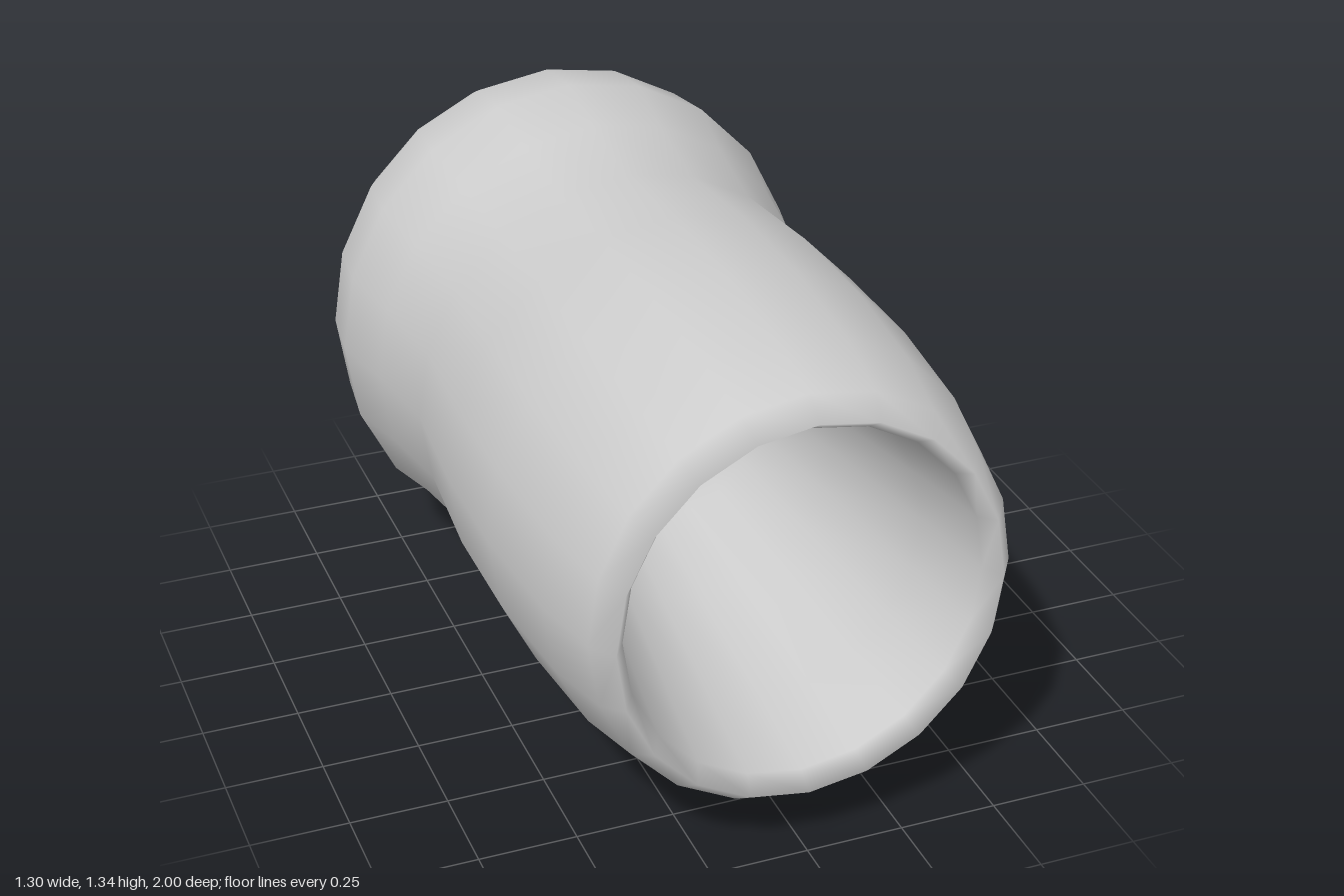
import * as THREE from 'three';
import { mergeVertices } from 'three/addons/utils/BufferGeometryUtils.js';

export function createModel() {
  const group = new THREE.Group();
  group.name = 'sleeve';

  // Closed wall profile as [radius, z]: bore to back rim, outside to front rim, bore again
  const profile = [
    [0.275, -0.2], [0.35, -0.5], [0.44, -0.78], [0.495, -0.96],
    [0.53, -1], [0.577, -0.96], [0.63, -0.85], [0.652, -0.67], [0.61, -0.48],
    [0.574, -0.23], [0.6, 0.1], [0.6, 0.42], [0.573, 0.74], [0.53, 0.935], [0.485, 1],
    [0.452, 0.95], [0.415, 0.7], [0.35, 0.3], [0.295, 0], [0.275, -0.2],
  ].map(([r, z]) => new THREE.Vector2(r, z));

  // Lathe along z, slightly taller than wide, with seams welded for smooth normals
  let geometry = new THREE.LatheGeometry(profile, 20);
  geometry.rotateX(Math.PI / 2);
  geometry.scale(1, 1.03, 1);
  geometry.deleteAttribute('uv');
  geometry.deleteAttribute('normal');
  geometry = mergeVertices(geometry, 1e-4);
  geometry.computeVertexNormals();

  const wall = new THREE.Mesh(geometry, new THREE.MeshStandardMaterial({ color: 0xcccccc }));
  wall.name = 'hollowSleeveWall';
  wall.position.y = 0.672;
  group.add(wall);
  return group;
}
